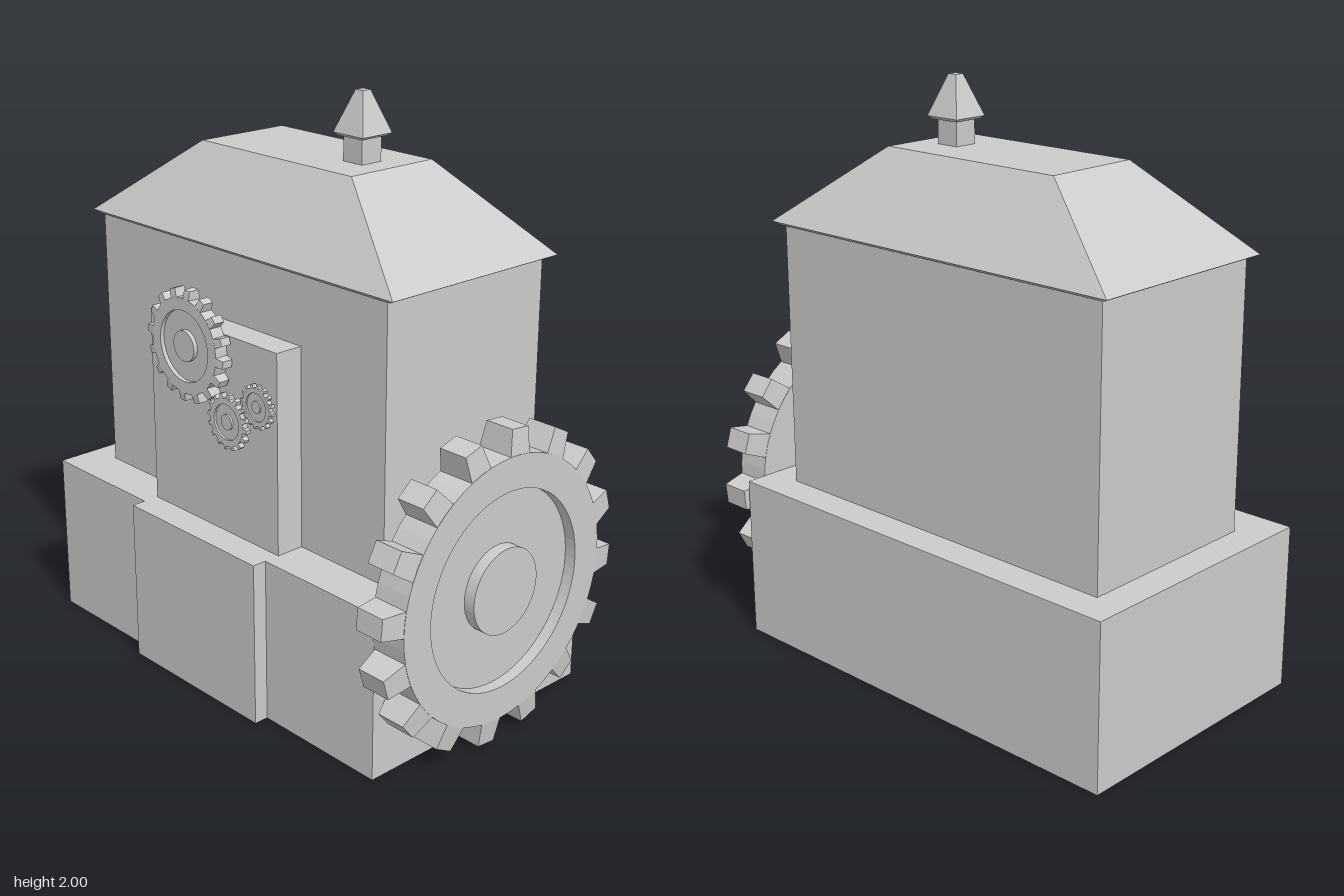
import * as THREE from 'three';

const material = new THREE.MeshStandardMaterial({ color: 0xcccccc, flatShading: true });

function addMesh(parent, name, geometry) {
  const mesh = new THREE.Mesh(geometry, material);
  mesh.name = name;
  parent.add(mesh);
  return mesh;
}

// Box between two rectangles [x0, x1, z0, z1] at heights y0 and y1
function taperedBox(low, high, y0, y1) {
  const geometry = new THREE.BoxGeometry(1, 1, 1);
  const p = geometry.attributes.position;
  for (let i = 0; i < p.count; i++) {
    const top = p.getY(i) > 0;
    const r = top ? high : low;
    p.setXYZ(i, r[p.getX(i) > 0 ? 1 : 0], top ? y1 : y0, r[p.getZ(i) > 0 ? 3 : 2]);
  }
  geometry.computeVertexNormals();
  return geometry;
}

const block = (rect, y0, y1) => taperedBox(rect, rect, y0, y1);

// Gear facing +z: recessed disc with a hub, ringed by teeth that narrow outward
function makeGear(name, scale) {
  const gear = new THREE.Group();
  gear.name = name;
  const h = 0.065, floor = 0.025, root = 0.448, tip = 0.53, teeth = 16;
  const profile = [
    [0, -h], [root, -h], [root, h], [0.335, h],
    [0.335, floor], [0.145, floor], [0.145, h], [0, h],
  ].map(([r, y]) => new THREE.Vector2(r, y));
  addMesh(gear, 'gearDisc', new THREE.LatheGeometry(profile, 64).rotateX(Math.PI / 2));

  const tooth = taperedBox([-0.044, 0.044, -h, h], [-0.036, 0.036, -0.052, 0.052], root - 0.01, tip);
  for (let i = 0; i < teeth; i++) {
    const mesh = addMesh(gear, 'gearTooth', tooth);
    mesh.rotation.z = (i / teeth) * Math.PI * 2 - 0.096;
  }
  gear.scale.setScalar(scale);
  return gear;
}

export function createModel() {
  const model = new THREE.Group();
  model.name = 'gearHouse';

  // Plinth, main storey and the stepped front panel
  addMesh(model, 'base', block([-0.875, 0.738, -0.52, 0.44], 0, 0.572));
  addMesh(model, 'body', block([-0.763, 0.62, -0.403, 0.285], 0.572, 1.495));
  addMesh(model, 'frontStep', block([-0.385, 0.245, 0.4, 0.49], 0, 0.572));
  addMesh(model, 'frontPanel', block([-0.385, 0.245, 0.25, 0.385], 0.572, 1.257));

  // Hipped roof with a thin undercut eave
  const eave = [-0.8, 0.66, -0.43, 0.305];
  addMesh(model, 'eave', taperedBox([-0.775, 0.635, -0.412, 0.29], eave, 1.488, 1.5));
  addMesh(model, 'roof', taperedBox(eave, [-0.427, 0.288, -0.238, 0.115], 1.5, 1.773));

  // Chimney and its pointed cap
  const capRim = [0.092, 0.226, -0.121, 0.008];
  addMesh(model, 'chimney', block([0.116, 0.201, -0.098, -0.014], 1.76, 1.86));
  addMesh(model, 'chimneyCapRim', taperedBox([0.104, 0.213, -0.11, -0.003], capRim, 1.855, 1.865));
  addMesh(model, 'chimneyCap', taperedBox(capRim, [0.142, 0.176, -0.073, -0.04], 1.865, 2));

  // Large side gear
  const sideGear = makeGear('sideGear', 1);
  sideGear.rotation.y = Math.PI / 2;
  sideGear.position.set(0.805, 0.548, 0);
  model.add(sideGear);

  // Train of small gears on the front panel
  const train = [
    ['largeFrontGear', -0.155, 1.19, 0.36],
    ['middleFrontGear', 0.038, 0.98, 0.18],
    ['smallFrontGear', 0.18, 1.07, 0.14],
  ];
  for (const [name, x, y, scale] of train) {
    const gear = makeGear(name, scale);
    gear.position.set(x, y, 0.408);
    model.add(gear);
  }
  return model;
}
